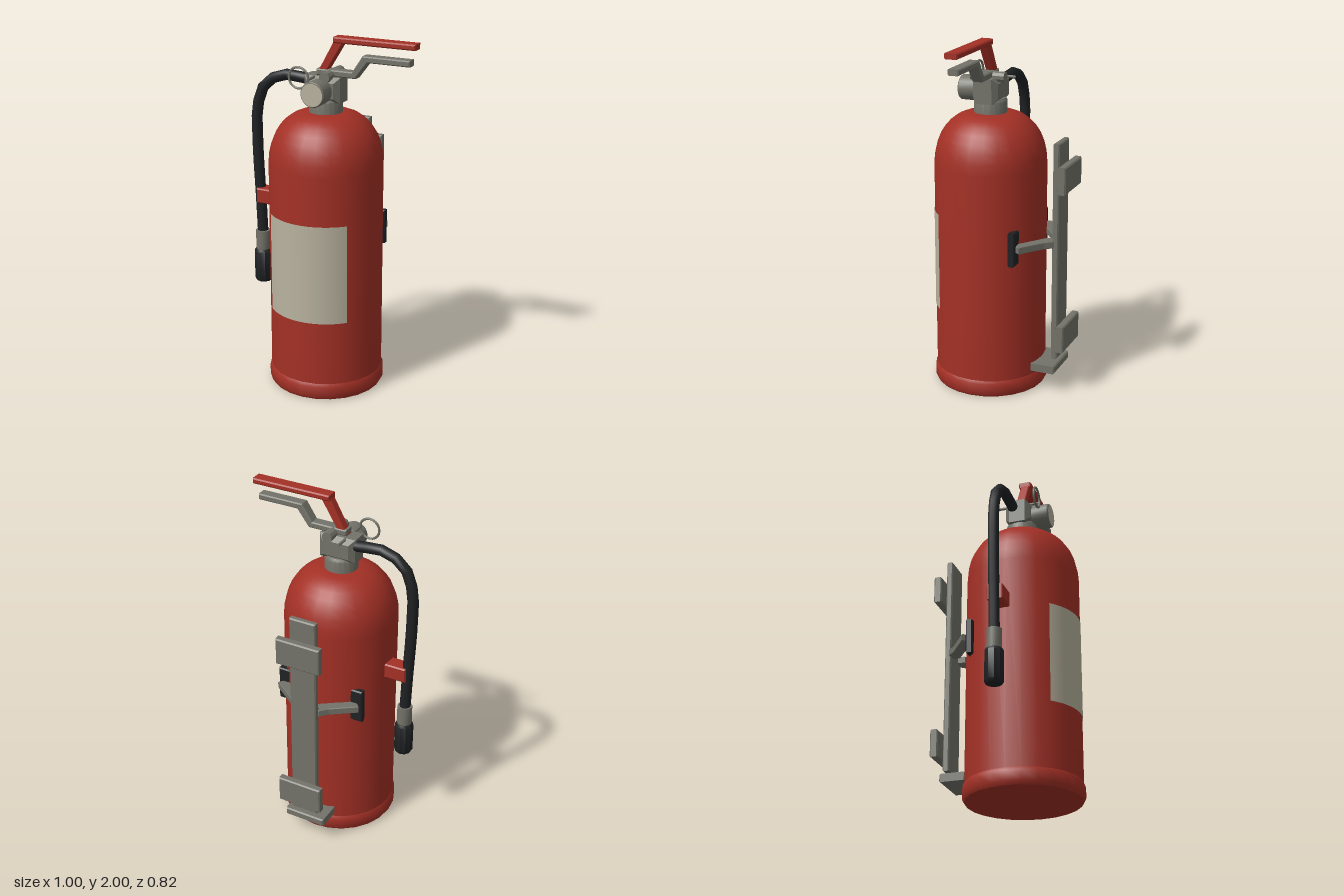
import * as THREE from 'three';
import { toCreasedNormals } from 'three/addons/utils/BufferGeometryUtils.js';

const mat = (name, color, side = THREE.FrontSide) => {
  const m = new THREE.MeshStandardMaterial({ color, side });
  m.name = name;
  return m;
};

export function createModel() {
  const root = new THREE.Group();
  root.name = 'fireExtinguisher';
  const red = mat('red paint', 0xa33025);
  const grey = mat('grey metal', 0x73736a);
  const black = mat('black rubber', 0x1f2123);
  const cream = mat('cream label', 0xb8b29e);
  const CX = -0.026, CZ = 0.083, R = 0.317;

  const add = (name, geo, material, x = 0, y = 0, z = 0) => {
    const mesh = new THREE.Mesh(geo, material);
    mesh.name = name;
    mesh.position.set(x, y, z);
    root.add(mesh);
    return mesh;
  };

  // Outline in x,y extruded along z, centred on z = 0, with chamfered edges
  const slab = (pts, depth, b) => {
    const shape = new THREE.Shape(pts.map(p => new THREE.Vector2(p[0], p[1])));
    const g = new THREE.ExtrudeGeometry(shape, {
      depth: depth - 2 * b, bevelEnabled: b > 0, bevelSize: b, bevelThickness: b,
      bevelOffset: -b, bevelSegments: 1,
    });
    return g.translate(0, 0, -depth / 2 + b);
  };

  // Chamfered box given by its limits
  const box = (name, material, [x0, x1], [y0, y1], [z0, z1], b = 0.007) => {
    const w = (x1 - x0) / 2, h = (y1 - y0) / 2;
    return add(name, slab([[-w, -h], [w, -h], [w, h], [-w, h]], z1 - z0, b), material,
      (x0 + x1) / 2, (y0 + y1) / 2, (z0 + z1) / 2);
  };

  const lathe = (name, pts, seg, material, x, y, z) => add(name,
    toCreasedNormals(new THREE.LatheGeometry(pts.map(p => new THREE.Vector2(p[0], p[1])), seg), 0.6),
    material, x, y, z);

  // Tank with domed shoulder
  const profile = [[R, 0.05]];
  for (let i = 0; i <= 8; i++) {
    const a = (i / 8) * Math.PI / 2;
    profile.push([0.1 + (R - 0.1) * Math.cos(a), 1.3 + 0.285 * Math.sin(a)]);
  }
  profile.push([0, 1.585]);
  lathe('tank', profile, 24, red, CX, 0, CZ);
  lathe('baseRing', [[0, 0], [0.315, 0], [0.327, 0.02], [0.327, 0.078], [0.317, 0.095], [0.3, 0.095]],
    24, red, CX, 0, CZ);

  // Label wrapped round the front
  const half = Math.asin(0.23 / R);
  add('label', new THREE.CylinderGeometry(R + 0.003, R + 0.003, 0.565, 24, 1, true, -half, half * 2),
    mat('label face', 0xb8b29e, THREE.DoubleSide), CX, 0.745, CZ);

  // Neck and valve
  lathe('neck', [[0.093, 1.56], [0.093, 1.65], [0.083, 1.665], [0, 1.665]], 20, grey, CX, 0, CZ);
  box('valveBody', grey, [-0.133, 0.08], [1.645, 1.785], [0.007, 0.155], 0.028);

  // Pressure gauge
  const gauge = lathe('gauge', [[0.07, 0], [0.07, 0.098], [0.065, 0.104], [0, 0.104]], 20, grey, CX, 1.71, 0.15);
  gauge.rotation.x = Math.PI / 2;
  add('gaugeFace', new THREE.CircleGeometry(0.063, 20), cream, CX, 1.71, 0.256);

  // Pivot bolt through the handles
  const bolt = add('pivotBolt', toCreasedNormals(new THREE.CylinderGeometry(0.03, 0.03, 0.2, 10), 0.5),
    grey, 0.01, 1.79, 0.08);
  bolt.rotation.x = Math.PI / 2;

  // Carrying handle and squeeze lever
  add('carryHandle', slab([[-0.07, 1.785], [0.16, 1.785], [0.23, 1.878], [0.47, 1.878],
    [0.47, 1.912], [0.2, 1.912], [0.14, 1.82], [-0.07, 1.82]], 0.064, 0.006), grey, 0, 0, 0.081);
  add('leverArm', slab([[-0.072, 1.79], [-0.025, 1.79], [0.088, 1.975], [0.06, 1.995], [0.035, 1.985]],
    0.052, 0.005), red, 0, 0, 0.08);
  box('leverGrip', red, [0.03, 0.5], [1.968, 2], [0.041, 0.117]);

  // Safety pin with pull ring
  const pin = add('safetyPin', new THREE.CylinderGeometry(0.008, 0.008, 0.25, 8), grey, -0.073, 1.778, 0.08);
  pin.rotation.x = Math.PI / 2;
  add('pullRing', new THREE.TorusGeometry(0.058, 0.007, 6, 20), grey, -0.132, 1.782, 0.2);

  // Hose, coupling and nozzle
  const hosePath = new THREE.CatmullRomCurve3([[-0.1, 1.74], [-0.16, 1.745], [-0.27, 1.757], [-0.405, 1.7],
    [-0.463, 1.57], [-0.47, 1.37], [-0.455, 1.0], [-0.447, 0.78]]
    .map(p => new THREE.Vector3(p[0], p[1], 0.056)));
  add('hose', new THREE.TubeGeometry(hosePath, 14, 0.031, 10), black);
  add('hoseCoupling', toCreasedNormals(new THREE.CylinderGeometry(0.042, 0.042, 0.115, 12), 0.6),
    grey, -0.447, 0.765, 0.056);
  lathe('nozzle', [[0, 0.513], [0.044, 0.513], [0.053, 0.528], [0.053, 0.695], [0.044, 0.71], [0, 0.71]],
    10, black, -0.447, 0, 0.056);
  box('hoseClip', red, [-0.46, -0.32], [0.998, 1.085], [0.014, 0.106]);

  // Wall bracket
  box('bracketRail', grey, [-0.105, 0.054], [0.195, 1.46], [-0.352, -0.315]);
  box('bracketFoot', grey, [-0.147, 0.096], [0.12, 0.166], [-0.353, -0.205]);
  for (const y of [0.342, 1.268]) {
    box('wallPlate', grey, [-0.157, 0.107], [y - 0.078, y + 0.078], [-0.408, -0.362]);
    box('plateSpacer', grey, [CX - 0.03, CX + 0.03], [y - 0.03, y + 0.03], [-0.365, -0.345], 0);
  }

  // Arms holding the tank, each with a rubber pad
  for (const s of [-1, 1]) {
    const pts = [[0.03, 0.325], [0.085, 0.325], [0.121, 0.285], [0.256, 0.187], [0.22, 0.14], [0.035, 0.275]]
      .map(p => [s * p[0], p[1]]);
    const arm = add('bracketArm', slab(pts, 0.042, 0.004), grey, CX, 0.885, 0);
    arm.rotation.x = -Math.PI / 2;
    const x = [CX + s * 0.263, CX + s * 0.18].sort((a, b) => a - b);
    box('armPad', black, x, [0.787, 0.985], [-0.164, -0.124]);
  }
  return root;
}
